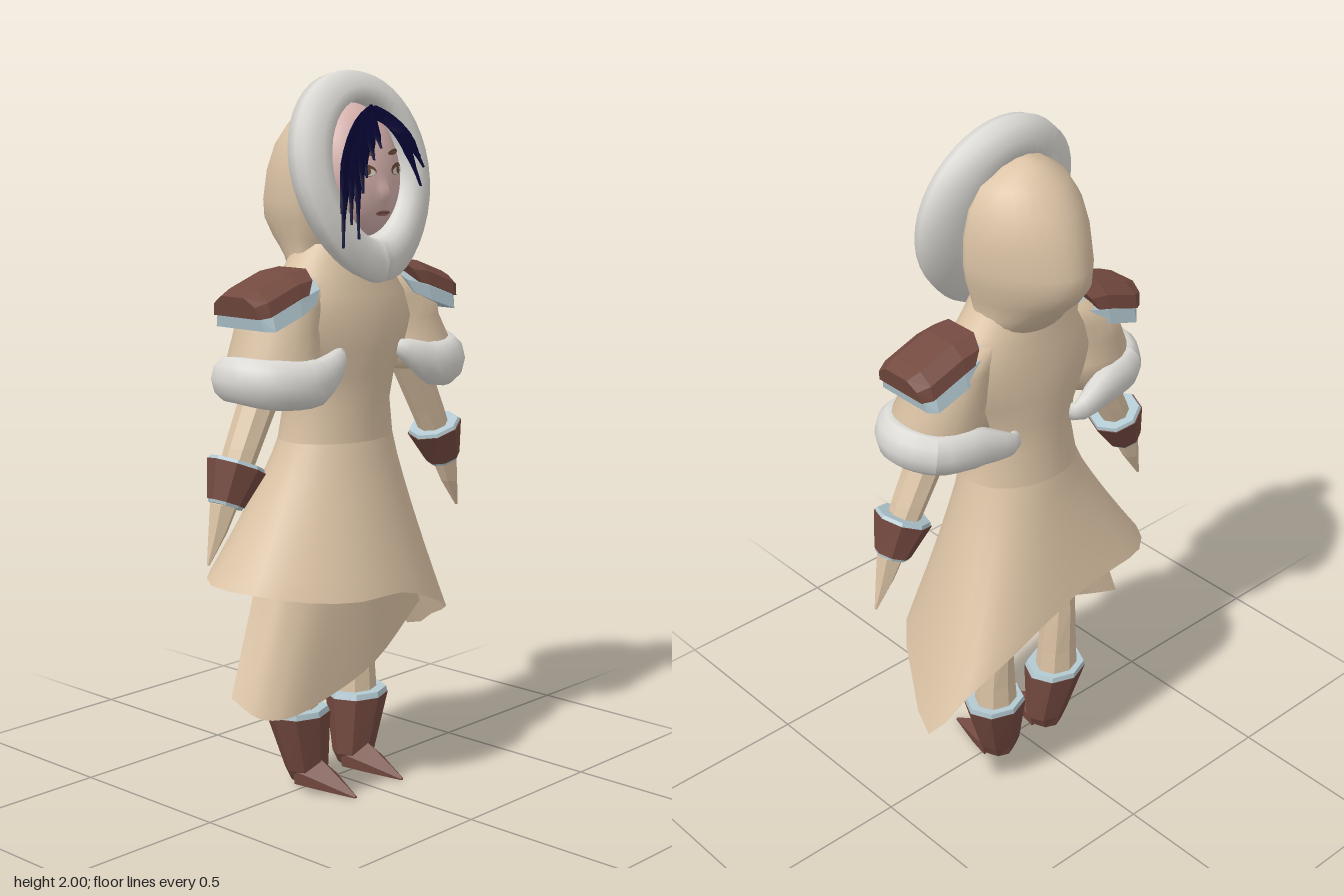
import * as THREE from 'three';

const mat = (name, color, side = THREE.FrontSide) => {
  const m = new THREE.MeshStandardMaterial({ color, side });
  m.name = name;
  return m;
};
const V = (x, y, z) => new THREE.Vector3(x, y, z);

// Skin a list of cross-section rings; s = -1 mirrors the part to the other side
function loft(rings, { s = 1, closed = true, caps = true, flat = false } = {}) {
  if (s < 0) rings = rings.map(r => r.map(p => V(-p.x, p.y, p.z)).reverse());
  const n = rings[0].length, last = rings.length - 1, pts = rings.flat(), idx = [];
  const cols = closed ? n : n - 1;
  for (let i = 0; i < last; i++) {
    for (let j = 0; j < cols; j++) {
      const a = i * n + j, b = i * n + (j + 1) % n;
      idx.push(a, b, b + n, a, b + n, a + n);
    }
  }
  if (caps && closed) {
    for (const i of [0, last]) {
      const c = pts.length;
      pts.push(rings[i].reduce((t, p) => t.add(p), V(0, 0, 0)).divideScalar(n));
      for (let j = 0; j < n; j++) {
        const a = i * n + j, b = i * n + (j + 1) % n;
        if (i === 0) idx.push(c, b, a); else idx.push(c, a, b);
      }
    }
  }
  let g = new THREE.BufferGeometry().setFromPoints(pts);
  g.setIndex(idx);
  if (flat) g = g.toNonIndexed();
  g.computeVertexNormals();
  return g;
}

// Horizontal ellipse rings, bottom to top: [x, y, z, radiusX, radiusZ]
const ringsOf = (stations, sides) => stations.map(([x, y, z, rx, rz]) =>
  Array.from({ length: sides }, (_, j) => {
    const a = j / sides * Math.PI * 2;
    return V(x + Math.sin(a) * rx, y, z + Math.cos(a) * rz);
  }));

// Closed level tube with a radius at each path point
function furLoop(path, radii, s) {
  const curve = new THREE.CatmullRomCurve3(path.map(p => V(...p)), true);
  const n = 32, rings = [];
  for (let i = 0; i <= n; i++) {
    const t = (i % n) / n, k = t * radii.length, f = Math.floor(k);
    const r = THREE.MathUtils.lerp(radii[f], radii[(f + 1) % radii.length], k - f);
    const P = curve.getPoint(t), T = curve.getTangent(t);
    const N = V(0, 1, 0).cross(T).normalize(), B = T.clone().cross(N);
    rings.push(Array.from({ length: 10 }, (_, j) => {
      const a = j / 10 * Math.PI * 2;
      return P.clone().addScaledVector(N, Math.cos(a) * r * 0.85).addScaledVector(B, Math.sin(a) * r * 1.15);
    }));
  }
  return loft(rings, { s, caps: false });
}

// Depth of the face surface at x, y, with a small nose
const faceZ = (x, y) => {
  const d = 1 - (x / 0.135) ** 2 - ((y - 1.735) / 0.18) ** 2;
  const nose = 0.018 * Math.exp(-((x / 0.014) ** 2) - ((y - 1.675) / 0.024) ** 2);
  return 0.06 + 0.112 * Math.max(0, d) ** 0.42 + (1.735 - y) * 0.15 + nose;
};

export function createModel() {
  const cloth = mat('tan cloth', 0xdac2a4, THREE.DoubleSide);
  const fur = mat('white fur', 0xdcdad5);
  const leather = mat('brown leather', 0x744a40);
  const trim = mat('pale blue trim', 0xb2c8d0);
  const hairMat = mat('navy hair', 0x070534, THREE.DoubleSide);
  const skin = mat('skin', 0xd6b2ae);
  const eyeWhite = mat('eye white', 0xd8cec6);
  const brown = mat('brow brown', 0x6a4a3a);
  const lip = mat('lips', 0x9c6a66);

  const model = new THREE.Group();
  const add = (name, g, m, parent = model) => {
    const mesh = new THREE.Mesh(g, m);
    mesh.name = name;
    parent.add(mesh);
  };

  // Bodice, broad over the shoulders
  add('bodice', loft(ringsOf([
    [0, 1.0, -0.005, 0.18, 0.14], [0, 1.1, 0, 0.163, 0.132], [0, 1.18, 0.005, 0.175, 0.138],
    [0, 1.25, 0.008, 0.22, 0.142], [0, 1.33, 0.01, 0.26, 0.14], [0, 1.4, 0.008, 0.24, 0.128],
    [0, 1.46, 0.003, 0.185, 0.115], [0, 1.54, 0, 0.13, 0.1]], 28), { caps: false }), cloth);

  // Flared skirt with a slanting hem, front round to the left, back and right
  const hem = new THREE.CatmullRomCurve3([
    [0, 0.59, 0.245], [0.15, 0.54, 0.225], [0.28, 0.48, 0.17], [0.38, 0.41, 0.03], [0.455, 0.335, -0.13],
    [0.38, 0.47, -0.21], [0.22, 0.57, -0.245], [0, 0.64, -0.235], [-0.18, 0.65, -0.222], [-0.31, 0.635, -0.19],
    [-0.4, 0.625, -0.09], [-0.385, 0.62, 0.06], [-0.28, 0.6, 0.17], [-0.15, 0.59, 0.235]].map(p => V(...p)), true);
  const waist = ringsOf([[0, 1.0, -0.005, 0.18, 0.14]], 28)[0];
  const skirt = [];
  for (let i = 8; i >= 0; i--) {
    const t = i / 8, k = t ** 1.15;
    skirt.push(waist.map((w, j) => {
      const h = hem.getPoint(j / 28);
      return V(w.x + (h.x - w.x) * k, w.y + (h.y - w.y) * t, w.z + (h.z - w.z) * k);
    }));
  }
  add('skirt', loft(skirt, { caps: false }), cloth);

  // Under panel hanging below the front hem
  const low = new THREE.CatmullRomCurve3([[-0.415, 0.33, 0], [-0.39, 0.285, 0.08], [-0.33, 0.28, 0.125],
    [-0.18, 0.31, 0.14], [0, 0.37, 0.145], [0.22, 0.5, 0.12]].map(p => V(...p))).getPoints(20);
  const high = new THREE.CatmullRomCurve3([[-0.24, 0.75, -0.04], [-0.24, 0.75, 0.05], [-0.18, 0.75, 0.1],
    [-0.1, 0.75, 0.13], [0, 0.75, 0.14], [0.12, 0.75, 0.12]].map(p => V(...p))).getPoints(20);
  add('underPanel', loft([0, 0.33, 0.67, 1].map(t => low.map((p, j) => p.clone().lerp(high[j], t))),
    { closed: false }), cloth);

  // Hood, tapering toward the back and shallow behind the face
  const hood = ringsOf([
    [0, 1.44, 0, 0.15, 0.1], [0, 1.5, 0, 0.145, 0.15], [0, 1.55, 0, 0.155, 0.205],
    [0, 1.6, 0, 0.17, 0.242], [0, 1.65, 0, 0.178, 0.242], [0, 1.73, 0, 0.177, 0.22],
    [0, 1.8, 0, 0.16, 0.188], [0, 1.86, 0, 0.125, 0.14], [0, 1.9, -0.005, 0.065, 0.08],
    [0, 1.912, -0.02, 0.02, 0.025]], 28);
  for (const p of hood.flat()) {
    if (p.z > 0) p.z *= 0.3;
    else p.x *= 1 - 4 * p.z * p.z;
  }
  add('hood', loft(hood), cloth);

  // Fur rim around the face
  const section = [[-0.1, -0.09], [0.4, -0.07], [0.9, -0.05], [1, -0.01], [0.95, 0.015], [0.5, 0.04], [0.1, 0.03], [0, 0]];
  const rim = [];
  for (let i = 0; i <= 40; i++) {
    const a = Math.PI + i / 40 * Math.PI * 2, sn = Math.sin(a), c = Math.cos(a);
    const narrow = c < 0 ? 1 - 0.2 * c * c : 1;
    const inner = V(0.145 * sn * narrow, 1.735 + 0.18 * c, 0);
    const outer = V(0.25 * sn * narrow, 1.745 + (c > 0 ? 0.255 : 0.31) * c, 0);
    rim.push(section.map(([f, dz]) => {
      const p = inner.clone().lerp(outer, f);
      p.z = 0.05 + (2 - p.y) * 0.21 + dz;
      return p;
    }));
  }
  add('hoodRim', loft(rim, { caps: false }), fur);

  // Face
  const head = new THREE.Group();
  head.name = 'head';
  model.add(head);
  const face = new THREE.SphereGeometry(1, 48, 40);
  const fp = face.attributes.position;
  for (let i = 0; i < fp.count; i++) {
    const x = fp.getX(i) * 0.135, y = 1.735 + fp.getY(i) * 0.18, d = Math.max(0, -fp.getY(i));
    const z = fp.getZ(i) > 0 ? faceZ(x, y) : 0.06 + fp.getZ(i) * 0.06 + (1.735 - y) * 0.15;
    fp.setXYZ(i, x * (1 - 0.22 * d * d), y, z);
  }
  face.computeVertexNormals();
  add('face', face, skin, head);

  // Thin features laid on the face
  const patch = (name, x, y, rx, ry, m, tilt = 0, lift = 0.003) => {
    const g = new THREE.CircleGeometry(1, 16), p = g.attributes.position;
    for (let i = 0; i < p.count; i++) {
      const px = x + p.getX(i) * rx, py = y + p.getY(i) * ry + p.getX(i) * tilt;
      p.setXYZ(i, px, py, faceZ(px, py) + lift);
    }
    g.computeVertexNormals();
    add(name, g, m, head);
  };
  for (const s of [1, -1]) {
    patch('lashLine', s * 0.062, 1.738, 0.033, 0.016, brown, s * 0.004, 0.003);
    patch('eye', s * 0.062, 1.734, 0.028, 0.011, eyeWhite, s * 0.003, 0.005);
    patch('iris', s * 0.06, 1.736, 0.01, 0.011, brown, 0, 0.007);
    patch('eyebrow', s * 0.057, 1.783, 0.032, 0.007, brown, s * 0.004, 0.004);
  }
  patch('mouth', 0, 1.622, 0.028, 0.008, lip, 0, 0.004);
  patch('mouthLine', 0, 1.623, 0.028, 0.002, brown, 0, 0.006);

  // Hair strands sweeping from a parting: [tip x, tip y, width]
  const strands = [[-0.175, 1.54, 0.034], [-0.185, 1.63, 0.036], [-0.15, 1.6, 0.036], [-0.115, 1.56, 0.03],
    [-0.13, 1.66, 0.04], [-0.105, 1.68, 0.04], [-0.085, 1.72, 0.04], [-0.06, 1.765, 0.038], [-0.035, 1.795, 0.034],
    [0.132, 1.69, 0.03], [0.14, 1.74, 0.034], [0.12, 1.77, 0.034], [0.085, 1.82, 0.032]];
  strands.forEach(([tx, ty, w], k) => {
    const curve = new THREE.QuadraticBezierCurve3(V(0.01, 1.89, 0), V(tx * 0.75, 1.86, 0), V(tx, ty, 0));
    const rings = [];
    for (let i = 0; i <= 10; i++) {
      const t = i / 10, p = curve.getPoint(t), d = curve.getTangent(t);
      const half = w * (t < 0.7 ? 0.75 : (1 - t) * 2.5) * 0.65 + 0.001;
      const z = Math.max(faceZ(p.x, p.y), 0.11 + 0.065 * t) + 0.01 + (k % 3) * 0.003;
      rings.push([-1, 0, 1].map(e => V(p.x - d.y * half * e, p.y + d.x * half * e, z + (e ? 0 : 0.008))));
    }
    add('hairStrand', loft(rings, { closed: false }), hairMat, head);
  });

  // Shoulder plate sections, swept outward: [x, y, scale, lean]
  const arch = [[-0.1, -0.042], [-0.09, -0.005], [-0.05, 0.022], [0.05, 0.022], [0.09, -0.005], [0.1, -0.042]];
  const plate = (stations, s) => loft(stations.map(([x, y, k, lean]) =>
    arch.map(([z, dy]) => V(x + lean * dy, y + dy * k, 0.013 + z * k))), { s, flat: true });

  for (const s of [1, -1]) {
    const side = s > 0 ? 'left' : 'right';
    const arm = new THREE.Group(), leg = new THREE.Group();
    arm.name = side + 'Arm';
    leg.name = side + 'Leg';
    model.add(arm, leg);
    const limb = (name, stations, m, parent, sides = 8, flat = true) =>
      add(name, loft(ringsOf(stations, sides), { s, flat }), m, parent);

    // Sleeve and fur cuff, draped lower at the back
    limb('sleeve', [[0.26, 1.18, 0.025, 0.14, 0.135], [0.265, 1.25, 0.02, 0.13, 0.122],
      [0.245, 1.32, 0.01, 0.115, 0.115], [0.23, 1.38, 0.01, 0.13, 0.105], [0.16, 1.44, 0.005, 0.07, 0.08]],
      cloth, arm, 20, false);
    add('furCuff', furLoop([[0.395, 1.2, 0.02], [0.345, 1.19, 0.11], [0.24, 1.19, 0.15], [0.115, 1.245, 0.12],
      [0.1, 1.21, 0.02], [0.11, 1.15, -0.11], [0.24, 1.18, -0.1], [0.35, 1.19, -0.07]].reverse(),
      [0.052, 0.052, 0.022, 0.02, 0.02, 0.056, 0.06, 0.055], s), fur, arm);

    // Shoulder plate with a pale border underneath
    add('shoulderPlate', plate([[0.2, 1.458, 1, -0.6], [0.26, 1.45, 1.02, 0], [0.37, 1.412, 1.02, 0],
      [0.405, 1.4, 0.85, 0.2]], s), leather, arm);
    add('shoulderTrim', plate([[0.172, 1.432, 1, -0.6], [0.26, 1.41, 1.1, 0], [0.36, 1.378, 1.1, 0],
      [0.39, 1.37, 0.9, 0.2]], s), trim, arm);

    // Arm, bracer and pointed hand
    limb('forearm', [[0.415, 0.94, 0.015, 0.045, 0.045], [0.375, 1.02, 0.013, 0.05, 0.05],
      [0.295, 1.17, 0.01, 0.058, 0.055], [0.275, 1.22, 0.01, 0.05, 0.05]], cloth, arm);
    const bracer = new THREE.Group();
    bracer.name = 'bracerGroup';
    bracer.position.set(s * 0.42, 0.93, 0.015);
    bracer.rotation.z = s * 0.4;
    arm.add(bracer);
    limb('bracer', [[0, -0.058, 0, 0.05, 0.052], [0, 0.045, 0, 0.08, 0.082]], leather, bracer);
    limb('bracerTrimTop', [[0, 0.042, 0, 0.078, 0.08], [0, 0.055, 0, 0.073, 0.075]], trim, bracer);
    limb('bracerTrimBottom', [[0, -0.066, 0, 0.045, 0.047], [0, -0.057, 0, 0.049, 0.051]], trim, bracer);
    limb('hand', [[0.508, 0.72, 0.015, 0.004, 0.004], [0.473, 0.8, 0.015, 0.025, 0.026],
      [0.445, 0.88, 0.015, 0.04, 0.042]], cloth, arm, 6);

    // Leg, boot and pointed toe
    limb('shin', [[0.122, 0.18, -0.04, 0.07, 0.06], [0.124, 0.3, -0.042, 0.06, 0.054],
      [0.125, 0.45, -0.045, 0.047, 0.052], [0.115, 0.75, -0.02, 0.06, 0.06]], cloth, leg);
    limb('boot', [[0.098, 0.012, -0.025, 0.045, 0.045], [0.098, 0.05, -0.025, 0.068, 0.055],
      [0.122, 0.214, -0.035, 0.097, 0.086]], leather, leg);
    limb('bootTrim', [[0.122, 0.212, -0.035, 0.095, 0.085], [0.124, 0.23, -0.036, 0.09, 0.082]], trim, leg);
    const toe = [[-0.055, 0.01], [0.055, 0.01], [0.06, 0.05], [0, 0.1], [-0.06, 0.05]];
    add('bootToe', loft([[-0.02, 1], [0.05, 0.72], [0.165, 0.08]].map(([z, k]) =>
      toe.map(([x, y]) => V(0.098 + x * k, y * k, z))), { s, flat: true }), leather, leg);
  }
  return model;
}
